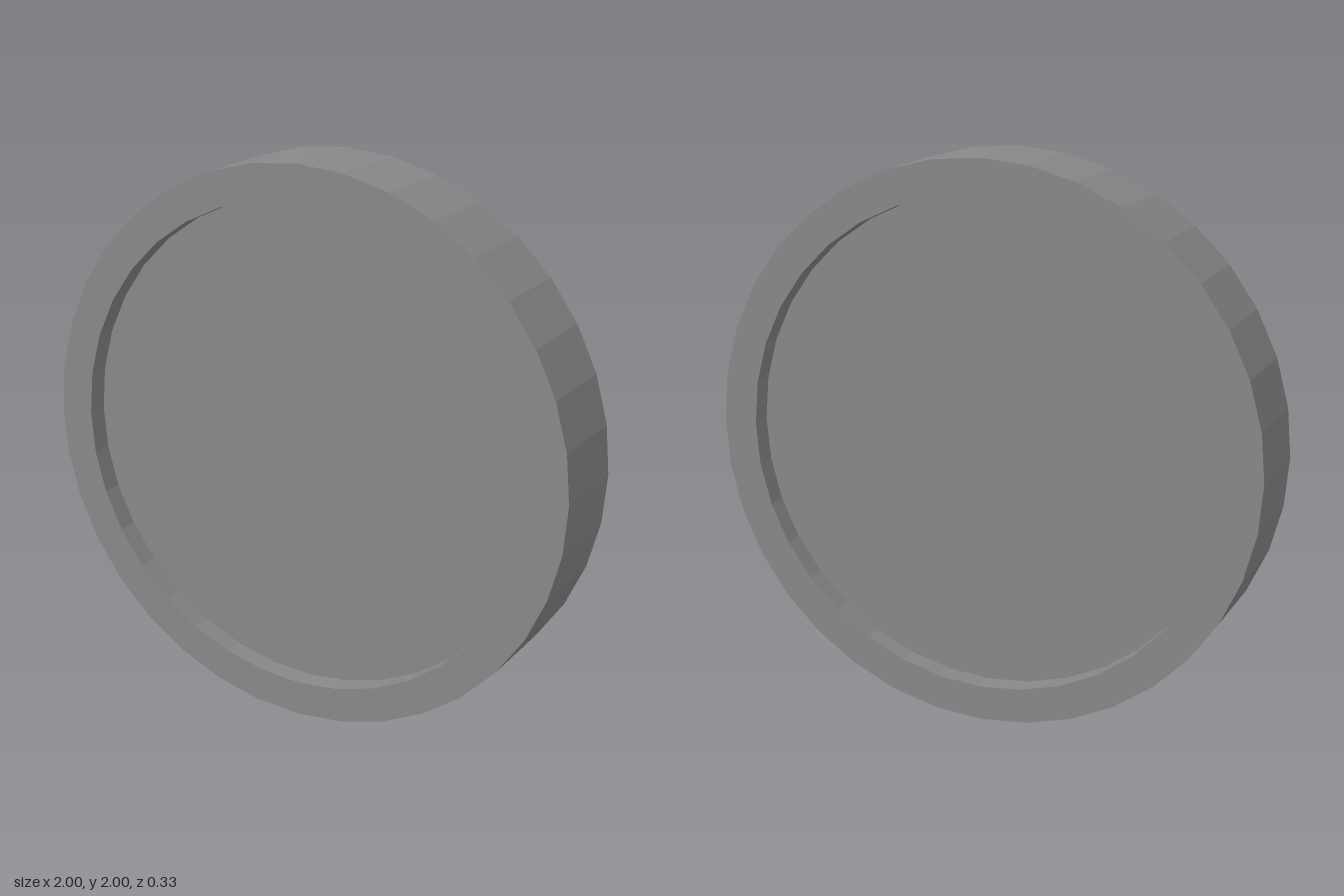
import * as THREE from 'three';

const SIDES = 36;
const OUTER = 1, INNER = 0.875;   // rim radii
const HALF = 0.167;               // half the thickness of the rim
const PANEL = 0.09;               // half the thickness of the recessed panel

export function createModel() {
  const group = new THREE.Group();
  group.name = 'rimmedDisc';
  const material = new THREE.MeshStandardMaterial({ color: 0x888888, flatShading: true });

  // Turn a part made around y so that it faces the front, standing on the ground
  const add = (name, geometry) => {
    geometry.rotateX(Math.PI / 2).translate(0, OUTER, 0);
    const mesh = new THREE.Mesh(geometry, material);
    mesh.name = name;
    group.add(mesh);
  };

  // Raised rim: back lip, outer wall, front lip, down to the panel on both sides
  const profile = [
    [INNER, -PANEL], [INNER, -HALF], [OUTER, -HALF],
    [OUTER, HALF], [INNER, HALF], [INNER, PANEL],
  ].map(([r, y]) => new THREE.Vector2(r, y));
  add('rim', new THREE.LatheGeometry(profile, SIDES));

  // Flat panel filling the rim, recessed at the front and the back
  add('panel', new THREE.CylinderGeometry(INNER, INNER, 2 * PANEL, SIDES));

  return group;
}
